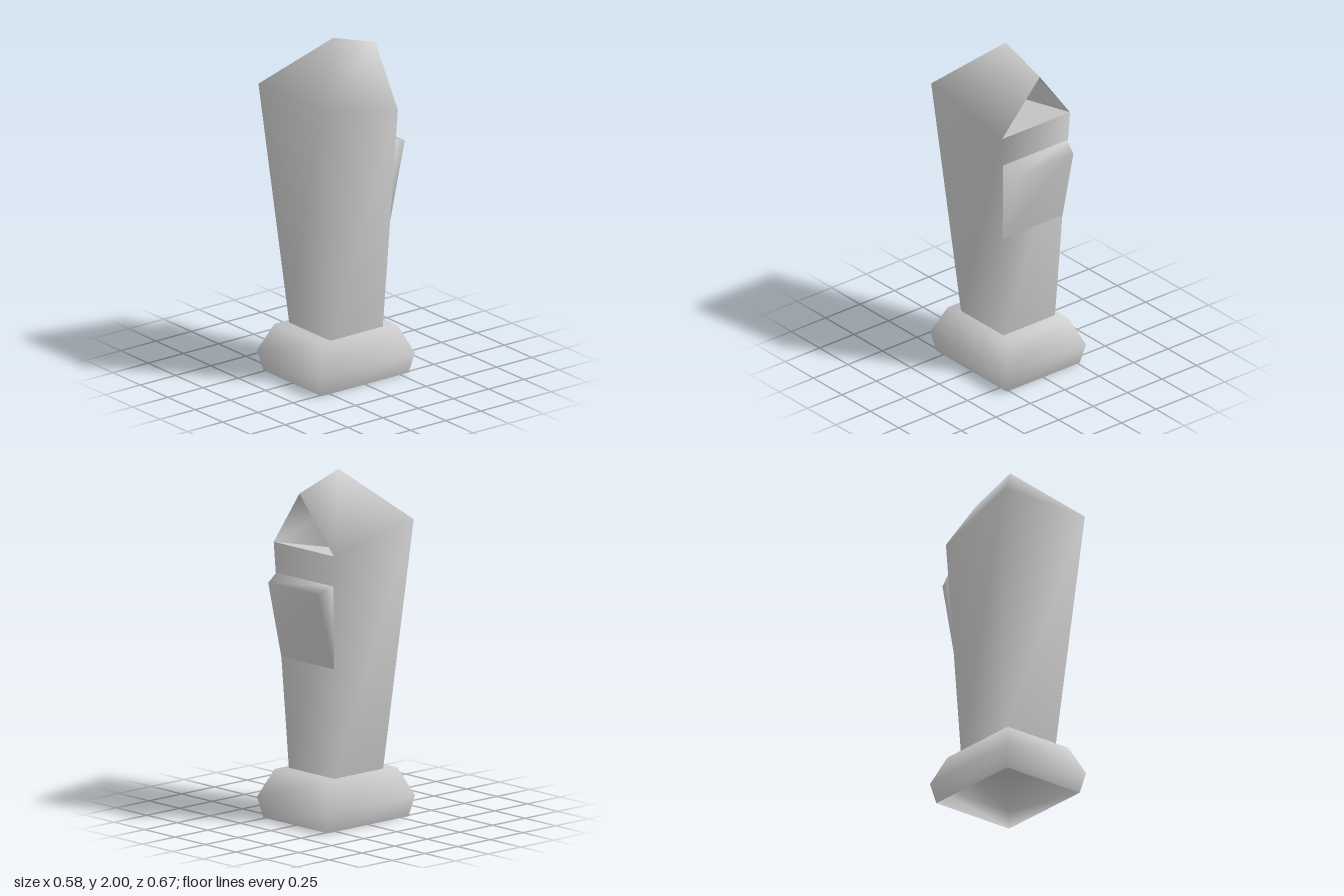
import * as THREE from 'three';

const gray = new THREE.MeshStandardMaterial({ color: 0xcccccc, side: THREE.DoubleSide });
gray.name = 'lightGray';

// Mesh with shared corners (smooth normals); faces are triangles or quads
function shell(name, points, faces) {
  const geo = new THREE.BufferGeometry();
  geo.setAttribute('position', new THREE.Float32BufferAttribute(points.flat(), 3));
  geo.setIndex(faces.flatMap(([a, b, c, d]) => (d === undefined ? [a, b, c] : [a, b, c, a, c, d])));
  geo.computeVertexNormals();
  const mesh = new THREE.Mesh(geo, gray);
  mesh.name = name;
  return mesh;
}

// Four corners of a rectangle; front and back edges may differ
const ring = (xf, yf, zf, xb = xf, yb = yf, zb = zf) =>
  [[-xf, yf, zf], [xf, yf, zf], [xb, yb, -zb], [-xb, yb, -zb]];

// Side walls joining consecutive rings
function walls(rings) {
  const faces = [];
  for (let r = 0; r < rings - 1; r++)
    for (let i = 0; i < 4; i++) {
      const j = (i + 1) % 4, k = r * 4;
      faces.push([k + i, k + j, k + 4 + j, k + 4 + i]);
    }
  return faces;
}

export function createModel() {
  const model = new THREE.Group();
  model.name = 'hoodedPost';

  // Bulging base, open underneath
  model.add(shell('base',
    [...ring(0.265, 0, 0.31), ...ring(0.29, 0.12, 0.335), ...ring(0.22, 0.28, 0.265)],
    [...walls(3), [8, 9, 10, 11]]));

  // Flaring shaft with a peaked hood, open at the back
  model.add(shell('shaft',
    [...ring(0.187, 0.28, 0.187), ...ring(0.29, 1.71, 0.325, 0.247, 1.58, 0.247),
      [0, 2, 0.02], [0, 1.905, -0.28]],
    [...walls(2), [4, 5, 8], [5, 6, 9, 8], [7, 4, 8, 9]]));

  // Sloping floor inside the hood
  model.add(shell('hoodFloor', ring(0.271, 1.45, 0.3, 0.247, 1.58, 0.247), [[0, 1, 2, 3]]));

  // Wedge on the back of the shaft
  const pair = (x, y, z) => [[x, y, z], [-x, y, z]];
  model.add(shell('backWedge',
    [...pair(0.217, 0.92, -0.217), ...pair(0.203, 1.365, -0.33), ...pair(0.235, 1.405, -0.235)],
    [[0, 1, 3, 2], [2, 3, 5, 4], [1, 5, 3], [0, 2, 4]]));

  return model;
}
